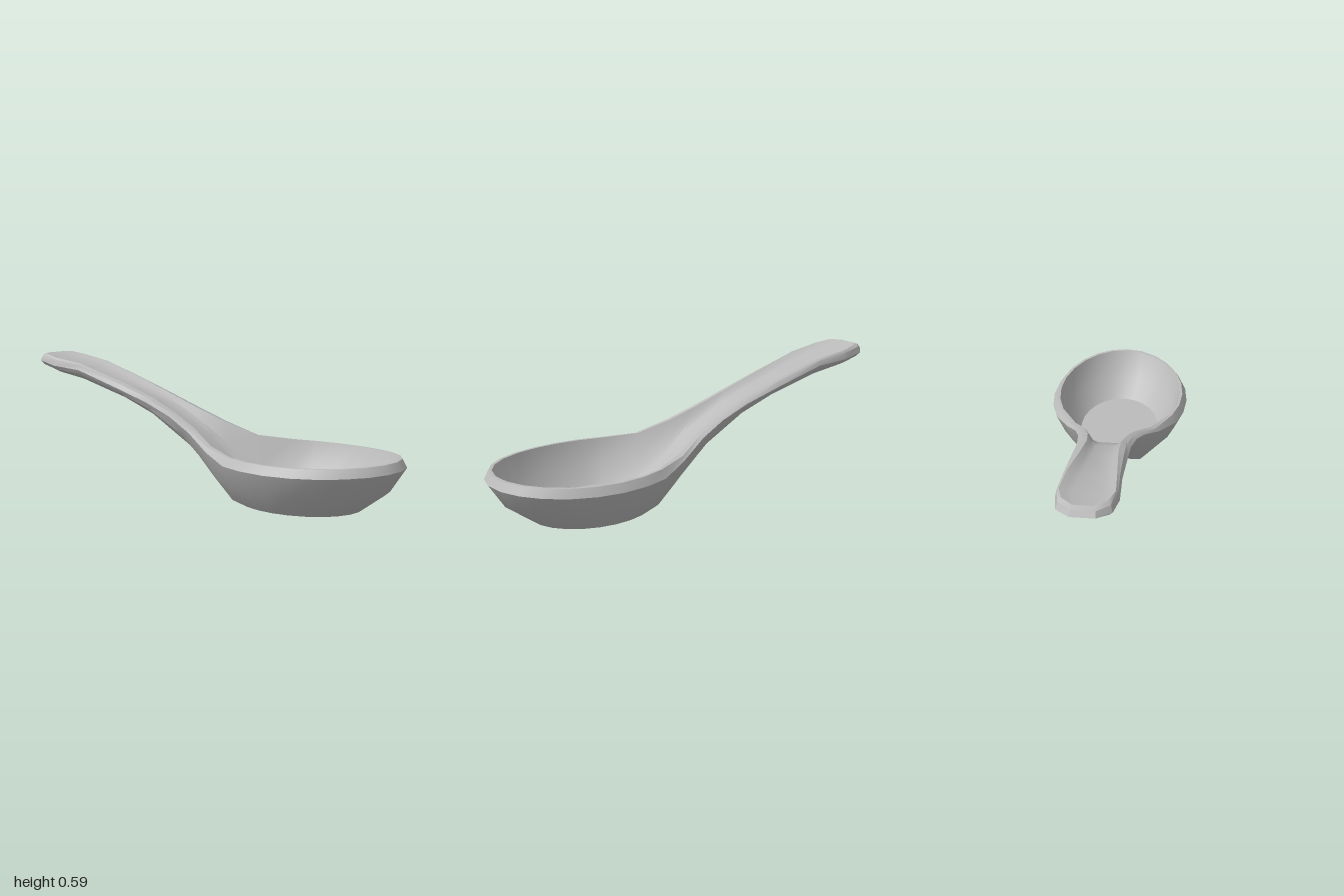
import * as THREE from 'three';
import { toCreasedNormals } from 'three/addons/utils/BufferGeometryUtils.js';

// Bowl loops from foot, up the outside, over the rim, down to the inner floor:
// [half width, half length, centre z, height, extra height at the front tip]
const BOWL = [
  [0.23, 0.29, 0.52, 0, 0],
  [0.30, 0.40, 0.53, 0.09, 0],
  [0.345, 0.46, 0.54, 0.185, 0.015],
  [0.322, 0.44, 0.54, 0.222, 0.015],
  [0.308, 0.425, 0.54, 0.222, 0.015],
  [0.272, 0.365, 0.525, 0.11, 0],
  [0.20, 0.28, 0.51, 0.03, 0],
];

// Handle stations, bowl to tip:
// rim [z, outer half width, inner half width, edge y, top y], underside [z, y, half width], channel [z, y, half width]
const HANDLE = [
  [0.17, 0.225, 0.185, 0.222, 0.245, 0.25, 0, 0.13, 0.27, 0.03, 0.11],
  [0.03, 0.165, 0.12, 0.288, 0.305, 0.12, 0.085, 0.09, 0.13, 0.13, 0.07],
  [-0.1, 0.135, 0.09, 0.345, 0.36, 0, 0.2, 0.08, 0, 0.25, 0.055],
  [-0.25, 0.12, 0.075, 0.398, 0.42, -0.25, 0.34, 0.07, -0.23, 0.385, 0.04],
  [-0.42, 0.12, 0.08, 0.45, 0.478, -0.42, 0.405, 0.07, -0.42, 0.452, 0.04],
  [-0.68, 0.12, 0.1, 0.525, 0.555, -0.68, 0.48, 0.08, -0.68, 0.535, 0.05],
  [-0.84, 0.125, 0.11, 0.538, 0.58, -0.84, 0.505, 0.08, -0.84, 0.567, 0.06],
  [-0.95, 0.108, 0.09, 0.558, 0.594, -0.92, 0.52, 0.06, -0.92, 0.584, 0.05],
  [-1, 0.05, 0.045, 0.565, 0.593, -0.96, 0.535, 0.035, -0.945, 0.589, 0.03],
];

const v = (x, y, z) => new THREE.Vector3(x, y, z);

function bowlStation(angle) {
  const s = Math.sin(angle), c = Math.cos(angle);
  return BOWL.map(([rx, rz, cz, y, lift]) => v(rx * s, y + lift * c * c, cz + rz * c));
}

function handleStation([z, w, wIn, yEdge, yTop, zU, yU, wU, zC, yC, wC]) {
  const under = v(wU, yU, zU);
  const edge = v(w, yEdge, z);
  const inner = v(wIn, yTop, z < -0.9 ? 0.8 * z - 0.16 : z);
  const channel = v(wC, yC, zC);
  const side = under.clone().lerp(edge, 0.5);
  side.x += (w - wU) * 0.25;
  const rim = edge.clone().lerp(inner, 0.4);
  rim.y = yTop - (yTop - yEdge) * 0.25;
  const wall = inner.clone().lerp(channel, 0.5);
  wall.y -= (yTop - yC) * 0.1;
  return [under, side, edge, rim, inner, wall, channel];
}

function spoonGeometry() {
  // Half outline from the front tip to the end of the handle, then mirrored
  const half = [];
  for (let i = 0; i <= 8; i++) half.push(bowlStation(i * Math.PI / 12));
  HANDLE.forEach((row) => half.push(handleStation(row)));
  const mirrored = half.slice(1).reverse().map((st) => st.map((p) => v(-p.x, p.y, p.z)));
  const loop = [...half, ...mirrored];
  const L = loop.length, K = BOWL.length;

  const pos = [];
  const tri = (...pts) => pts.forEach((p) => pos.push(p.x, p.y, p.z));
  const at = (i, k) => loop[i % L][k];

  // Skin between neighbouring loops
  for (let i = 0; i < L; i++) {
    for (let k = 0; k < K - 1; k++) {
      tri(at(i, k), at(i + 1, k), at(i + 1, k + 1));
      tri(at(i, k), at(i + 1, k + 1), at(i, k + 1));
    }
  }
  // Strips from side to side close the underside and the inner floor
  for (let i = 0; i < half.length - 1; i++) {
    const top = K - 1, a = i, b = i + 1, c = L - i - 1, d = L - i;
    tri(at(a, top), at(b, top), at(c, top));
    tri(at(a, 0), at(c, 0), at(b, 0));
    if (i > 0) {
      tri(at(a, top), at(c, top), at(d, top));
      tri(at(a, 0), at(d, 0), at(c, 0));
    }
  }
  const geo = new THREE.BufferGeometry();
  geo.setAttribute('position', new THREE.Float32BufferAttribute(pos, 3));
  return toCreasedNormals(geo, 0.55);
}

export function createModel() {
  const ceramic = new THREE.MeshStandardMaterial({ color: 0xbbbbbb });
  ceramic.name = 'greyCeramic';

  const spoon = new THREE.Mesh(spoonGeometry(), ceramic);
  spoon.name = 'spoon';

  const model = new THREE.Group();
  model.name = 'soupSpoon';
  model.add(spoon);
  return model;
}
